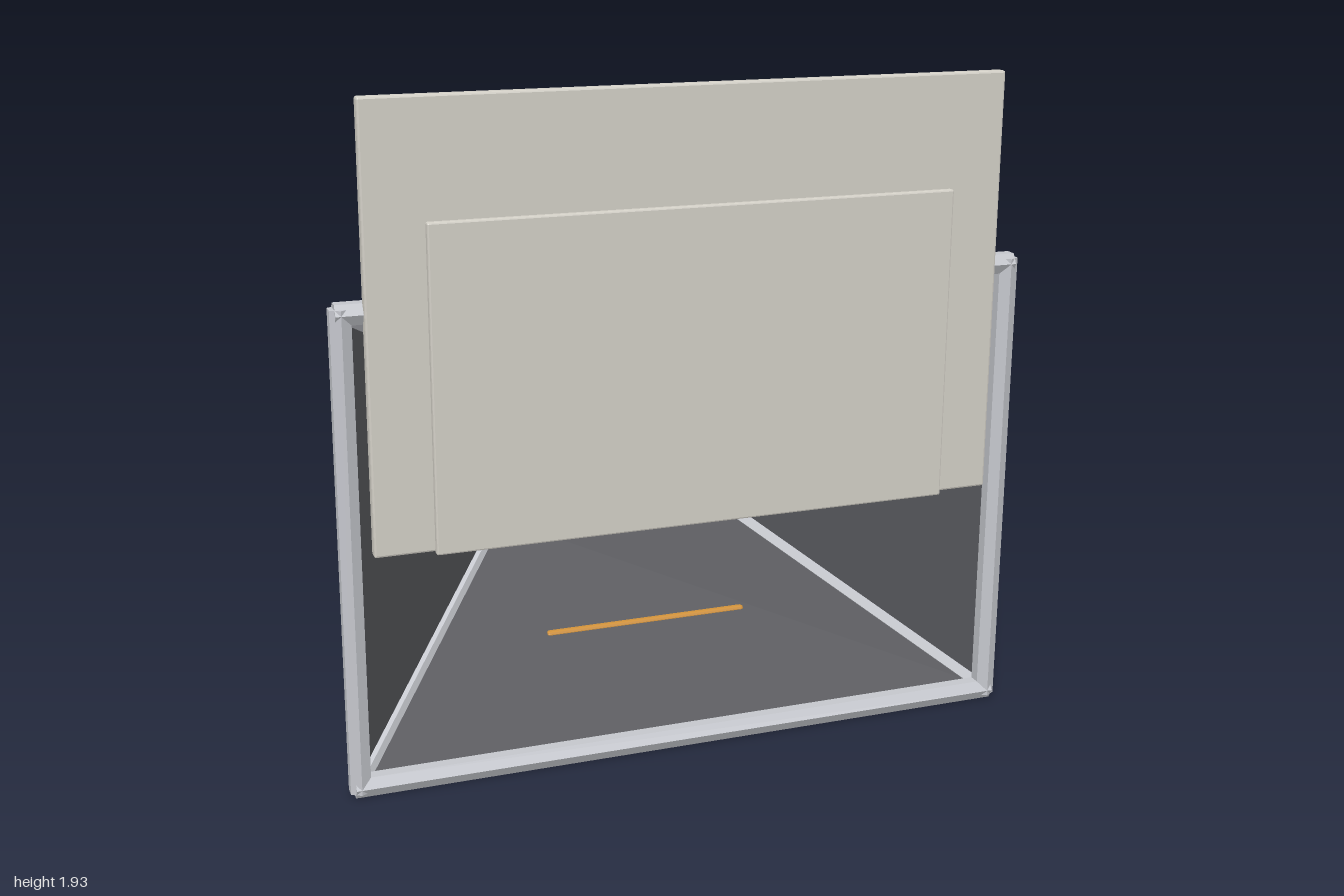
import * as THREE from 'three';
import { RoundedBoxGeometry } from 'three/addons/geometries/RoundedBoxGeometry.js';

const mat = (color, extra = {}) =>
  new THREE.MeshStandardMaterial({ color, flatShading: true, ...extra });

const Y = new THREE.Vector3(0, 1, 0);

export function createModel() {
  const model = new THREE.Group();
  const panelMat = mat(0x55565a, { side: THREE.DoubleSide });
  const housingMat = mat(0x85868a);
  const metalMat = mat(0xc4c6cc);
  const screenMat = mat(0xd2cfc6);
  const orangeMat = mat(0xd0913a);
  const darkMat = mat(0x36383b);

  const add = (name, geometry, material, parent = model) => {
    const mesh = new THREE.Mesh(geometry, material);
    mesh.name = name;
    parent.add(mesh);
    return mesh;
  };

  // Box with chamfered edges, given by its limits
  const block = (name, [x0, x1], [y0, y1], [z0, z1], chamfer, material) => {
    const g = new RoundedBoxGeometry(x1 - x0, y1 - y0, z1 - z0, 1, chamfer);
    g.translate((x0 + x1) / 2, (y0 + y1) / 2, (z0 + z1) / 2);
    return add(name, g, material);
  };

  // Straight bar between two points
  const rod = (name, a, b, radius, material, sides = 6) => {
    const from = new THREE.Vector3(...a);
    const dir = new THREE.Vector3(...b).sub(from);
    const mesh = add(name, new THREE.CylinderGeometry(radius, radius, dir.length(), sides), material);
    mesh.position.copy(from).addScaledVector(dir, 0.5);
    mesh.quaternion.setFromUnitVectors(Y, dir.normalize());
    return mesh;
  };

  // Tapered hood: four thin walls from the front frame back to the housing
  const ring = (w, y0, y1, z) => [[-w, y0, z], [w, y0, z], [w, y1, z], [-w, y1, z]];
  const front = ring(0.965, 0.035, 1.365, 0.48);
  const back = ring(0.36, 0.475, 0.93, -0.29);
  ['hoodBottom', 'hoodLeft', 'hoodTop', 'hoodRight'].forEach((name, i) => {
    const j = (i + 1) % 4;
    const g = new THREE.BufferGeometry();
    g.setAttribute('position', new THREE.Float32BufferAttribute(
      [front[i], back[i], front[j], back[j]].flat(), 3));
    g.setIndex([0, 1, 2, 2, 1, 3]);
    g.computeVertexNormals();
    add(name, g, panelMat);
    rod('cornerRod', front[i], back[i], 0.022, metalMat);
  });

  // Front frame of six-sided bars
  for (const s of [-1, 1]) {
    rod('frameUpright', [s * 0.97, 0.015, 0.49], [s * 0.97, 1.385, 0.49], 0.033, metalMat);
    const y = 0.7 + s * 0.67;
    rod('frameRail', [-0.985, y, 0.49], [0.985, y, 0.49], 0.033, metalMat);
  }

  // Rear housing
  block('rearHousing', [-0.36, 0.36], [0.468, 0.938], [-0.566, -0.285], 0.02, housingMat);

  // Two flat screens in front of the frame
  block('largeScreen', [-0.912, 0.912], [0.707, 1.927], [0.498, 0.533], 0.006, screenMat);
  block('smallScreen', [-0.75, 0.75], [0.707, 1.607], [0.543, 0.566], 0.005, screenMat);

  // Orange bar through the floor and orange posts hanging inside the hood
  block('floorBar', [-0.32, 0.32], [0.19, 0.245], [0.073, 0.13], 0.008, orangeMat);
  for (const s of [-1, 1]) {
    block('innerPost', [s * 0.462 - 0.018, s * 0.462 + 0.018], [0.662, 1.145], [0.082, 0.118], 0.008, orangeMat);
    // Handle legs
    block('handleLeg', [s * 0.46 - 0.019, s * 0.46 + 0.019], [1.14, 1.25], [0.081, 0.119], 0.008, metalMat);
  }

  // Handle bar with a socket in the middle
  rod('handleBar', [-0.475, 1.238, 0.1], [0.475, 1.238, 0.1], 0.021, metalMat, 8);
  rod('handleSocket', [0, 1.22, 0.1], [0, 1.335, 0.1], 0.032, metalMat, 8);

  // Clamp: stem, open C-shaped jaw, screw and cross bar
  block('clampStem', [-0.026, 0.03], [1.37, 1.425], [0.074, 0.126], 0.007, darkMat);
  block('clampBody', [-0.022, 0.045], [1.415, 1.475], [0.08, 0.12], 0.006, darkMat);
  const jaw = new THREE.Shape();
  const start = THREE.MathUtils.degToRad(70), end = THREE.MathUtils.degToRad(275);
  jaw.absarc(0, 1.517, 0.086, start, end, false);
  jaw.absarc(0, 1.517, 0.055, end, start, true);
  const jawGeometry = new THREE.ExtrudeGeometry(jaw, {
    depth: 0.03, curveSegments: 12, bevelThickness: 0.004, bevelSize: 0.004, bevelOffset: -0.004, bevelSegments: 1,
  });
  add('clampJaw', jawGeometry.translate(0, 0, 0.085), darkMat);
  rod('clampScrew', [0.03, 1.457, 0.1], [0.135, 1.457, 0.1], 0.011, darkMat, 8);
  rod('clampCrossBar', [0.135, 1.457, 0.062], [0.135, 1.457, 0.138], 0.009, metalMat, 8);

  return model;
}
